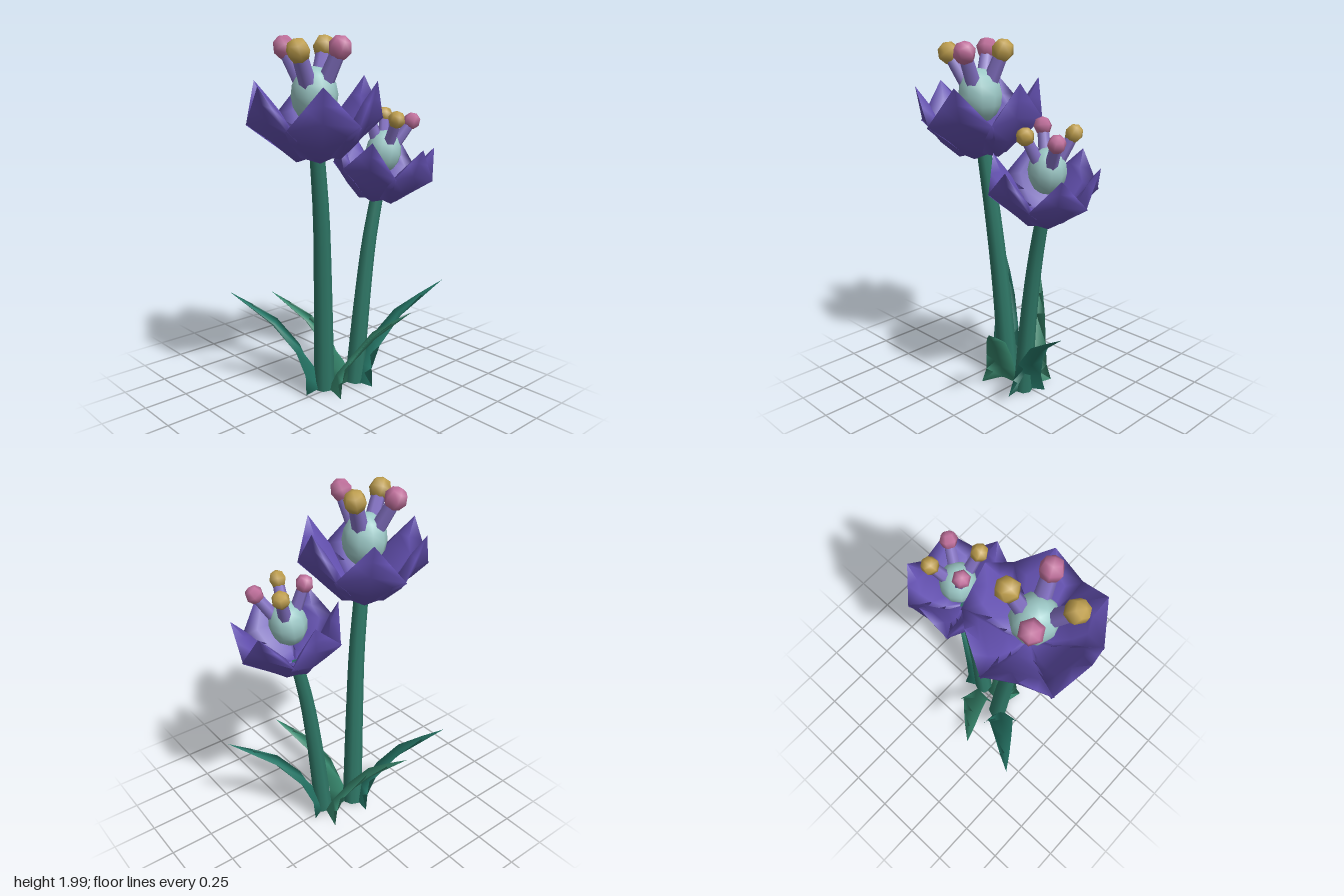
import * as THREE from 'three';

const mat = (color) => new THREE.MeshStandardMaterial({ color, side: THREE.DoubleSide });
const petalMat = mat(0x6350b0);
const stalkMat = mat(0x8472c4);
const stemMat = mat(0x2f7867);
const leafMats = [mat(0x277a6a), mat(0x37876d)];
const centreMat = mat(0x9cc8c6);
const goldMat = mat(0xbf9f4e);
const pinkMat = mat(0xc0709c);

const V = (x, y, z) => new THREE.Vector3(x, y, z);

function add(parent, name, geometry, material) {
  const mesh = new THREE.Mesh(geometry, material);
  mesh.name = name;
  parent.add(mesh);
  return mesh;
}

// Smooth closed shell through rings of points: edge, outer rib, edge, then the inner points
function shell(rows) {
  const n = rows[0].length;
  const pos = rows.flat().flatMap((p) => [p.x, p.y, p.z]);
  const index = [];
  for (let r = 0; r < rows.length - 1; r++) {
    for (let c = 0; c < n; c++) {
      const a = r * n + c, b = r * n + ((c + 1) % n);
      index.push(a, b, a + n, b, b + n, a + n);
    }
  }
  const g = new THREE.BufferGeometry();
  g.setAttribute('position', new THREE.Float32BufferAttribute(pos, 3));
  g.setIndex(index);
  g.computeVertexNormals();
  return g;
}

// Petal pointing along +x, a thick kite with a dished inside:
// outer rib (r, y), edge (r, y, half width), inner dish (r, y, half width)
function petalGeometry() {
  const profile = [
    [0.03, 0.02, 0.03, 0.03, 0.025, 0.02, 0.05, 0.01],
    [0.13, 0.01, 0.12, 0.045, 0.1, 0.105, 0.065, 0.045],
    [0.225, 0.1, 0.215, 0.135, 0.155, 0.18, 0.15, 0.08],
    [0.29, 0.23, 0.3, 0.205, 0.182, 0.24, 0.235, 0.095],
    [0.315, 0.32, 0.318, 0.308, 0.09, 0.27, 0.31, 0.04],
    [0.335, 0.41, 0.335, 0.41, 0, 0.335, 0.41, 0],
  ];
  return shell(profile.map(([r, y, er, ey, ew, ir, iy, iw]) => [
    V(er, ey, ew), V(r, y, 0), V(er, ey, -ew), V(ir, iy, -iw), V(ir, iy, iw),
  ]));
}

// Tapered tube along a curve
function taperedTube(curve, segments, r0, r1, sides) {
  const g = new THREE.TubeGeometry(curve, segments, 1, sides, false);
  const p = g.attributes.position;
  const q = V(0, 0, 0);
  for (let i = 0; i < p.count; i++) {
    const t = Math.floor(i / (sides + 1)) / segments;
    const c = curve.getPointAt(t);
    q.fromBufferAttribute(p, i).sub(c).multiplyScalar(r0 + (r1 - r0) * t).add(c);
    p.setXYZ(i, q.x, q.y, q.z);
  }
  return g;
}

// Straight rod between two points
function rod(parent, name, a, b, r0, r1, material) {
  const dir = b.clone().sub(a);
  const mesh = add(parent, name, new THREE.CylinderGeometry(r1, r0, dir.length(), 6), material);
  mesh.position.copy(a).add(b).multiplyScalar(0.5);
  mesh.quaternion.setFromUnitVectors(V(0, 1, 0), dir.normalize());
}

function flower(o) {
  const group = new THREE.Group();
  group.name = o.name;

  // Curved stem
  const curve = new THREE.CatmullRomCurve3(o.stem);
  add(group, 'stem', taperedTube(curve, 10, o.stemR[0], o.stemR[1], 8), stemMat);

  // Ring of six petals, leaning with the stem
  const head = new THREE.Group();
  head.name = 'petals';
  head.position.copy(o.base);
  head.rotation.set(o.tilt[0], 0, o.tilt[1]);
  head.scale.set(o.size, o.height, o.size);
  const geometry = petalGeometry();
  for (let i = 0; i < 6; i++) {
    add(head, 'petal', geometry, petalMat).rotation.y = o.turn + (i * Math.PI) / 3;
  }
  group.add(head);

  // Egg-shaped centre
  const centre = add(group, 'flowerCentre', new THREE.SphereGeometry(1, 10, 8), centreMat);
  centre.position.copy(o.centre);
  centre.scale.set(o.centreR, o.centreR * 1.2, o.centreR);
  centre.rotation.set(o.tilt[0], 0, o.tilt[1]);

  // Stamens with alternating tips
  const root = o.centre.clone().add(V(0, -o.centreR * 0.5, 0));
  o.tips.forEach((tip, i) => {
    const start = root.clone().lerp(tip, 0.15);
    rod(group, 'stamen', start, tip, o.tipR * 0.75, o.tipR * 0.6, stalkMat);
    const ball = add(group, 'stamenTip', new THREE.SphereGeometry(o.tipR, 6, 4), i % 2 ? pinkMat : goldMat);
    ball.position.copy(tip);
    ball.quaternion.setFromUnitVectors(V(0, 1, 0), tip.clone().sub(root).normalize());
  });
  return group;
}

// Leaf arching from a foot to a tip: distance, height, half width, outer and inner rib shift
function leafGeometry(foot, tip) {
  const out = V(tip.x - foot.x, 0, tip.z - foot.z);
  const side = V(-out.z, 0, out.x).normalize();
  const unit = out.clone().normalize();
  const rows = [
    [0.16, 0.025, 0.112, -0.07, -0.09],
    [0.17, 0.2, 0.085, -0.025, -0.05],
    [0.26, 0.42, 0.074, 0.02, -0.01],
    [0.5, 0.7, 0.054, 0.025, 0.005],
    [0.76, 0.86, 0.029, 0.012, 0],
    [1, 1, 0, 0, 0],
  ];
  return shell(rows.map(([d, h, w, so, si]) => {
    const c = foot.clone().addScaledVector(out, d).setY(h * tip.y);
    const rib = (s) => c.clone().addScaledVector(unit, s).add(V(0, -s * h, 0));
    return [c.clone().addScaledVector(side, w), rib(so), c.clone().addScaledVector(side, -w), rib(si)];
  }));
}

export function createModel() {
  const model = new THREE.Group();
  model.name = 'floweringPlant';

  model.add(flower({
    name: 'tallFlower',
    stem: [V(-0.11, 0.01, -0.03), V(-0.14, 0.6, 0), V(-0.175, 1.05, 0.03), V(-0.218, 1.4, 0.05)],
    stemR: [0.06, 0.04],
    base: V(-0.22, 1.36, 0.053), tilt: [0.02, 0.06], size: 1.01, height: 1, turn: -0.045,
    centre: V(-0.235, 1.695, 0.055), centreR: 0.122,
    tips: [V(-0.398, 1.915, 0.13), V(-0.32, 1.932, -0.08), V(-0.117, 1.937, -0.005), V(-0.19, 1.93, 0.2)],
    tipR: 0.063,
  }));

  model.add(flower({
    name: 'shortFlower',
    stem: [V(0.075, 0.01, 0.03), V(0.125, 0.5, 0.038), V(0.175, 0.85, 0.04), V(0.23, 1.11, 0.045)],
    stemR: [0.055, 0.036],
    base: V(0.23, 1.08, 0.047), tilt: [0.08, -0.13], size: 0.84, height: 0.84, turn: Math.PI / 6 - 0.03,
    centre: V(0.267, 1.36, 0.055), centreR: 0.102,
    tips: [V(0.235, 1.55, 0.185), V(0.19, 1.577, 0.01), V(0.363, 1.555, -0.035), V(0.405, 1.53, 0.14)],
    tipR: 0.049,
  }));

  // Two leaves at the foot of each stem
  const leaves = [
    [V(-0.125, 0, -0.03), V(-0.5, 0.59, -0.39)],
    [V(-0.1, 0, 0.03), V(0.17, 0.515, 0.385)],
    [V(0.055, 0, 0.025), V(0.57, 0.587, 0.265)],
    [V(0.08, 0, -0.03), V(-0.2, 0.52, -0.405)],
  ];
  leaves.forEach(([foot, tip], i) => add(model, 'leaf', leafGeometry(foot, tip), leafMats[i % 2]));

  return model;
}
